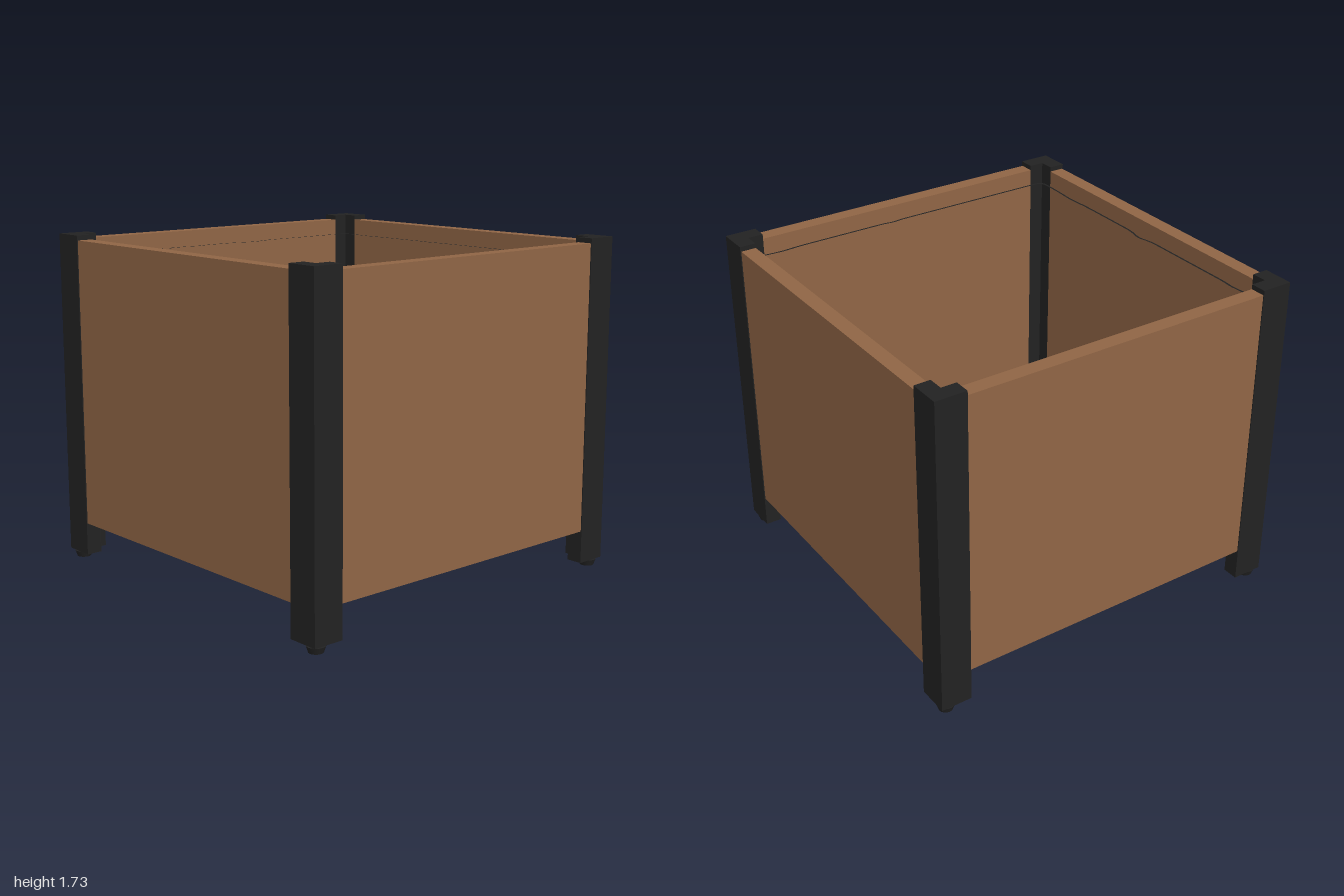
import * as THREE from 'three';

const wood = new THREE.MeshStandardMaterial({ name: 'brown wood', color: 0x906545 });
const black = new THREE.MeshStandardMaterial({ name: 'black metal', color: 0x222222 });

const ARM = 0.165, THICK = 0.085;           // corner post section
const POST_BOTTOM = 0.04, POST_TOP = 1.73;
const PANEL_BOTTOM = 0.21, PANEL_TOP = 1.705;

function add(parent, name, geometry, material, x = 0, y = 0, z = 0) {
  const mesh = new THREE.Mesh(geometry, material);
  mesh.name = name;
  mesh.position.set(x, y, z);
  parent.add(mesh);
  return mesh;
}

// L-shaped angle post with its outer corner at (1, 1)
function postGeometry() {
  const a = 1 - ARM, b = 1 - THICK;
  const shape = new THREE.Shape([[1, 1], [a, 1], [a, b], [b, b], [b, a], [1, a]]
    .map(([x, z]) => new THREE.Vector2(x, z)));
  const g = new THREE.ExtrudeGeometry(shape, { depth: POST_TOP - POST_BOTTOM, bevelEnabled: false });
  return g.rotateX(Math.PI / 2).translate(0, POST_TOP, 0);
}

// Inward ripples of the liner: [position along side, depth, width]
const ripples = {
  front: [[0, 0.018, 0.06], [0.62, 0.008, 0.1], [-0.72, 0.006, 0.05]],
  right: [[-0.08, 0.007, 0.04], [-0.75, 0.008, 0.08]],
  back: [[-0.7, 0.008, 0.1], [-0.2, 0.006, 0.06], [0.5, 0.008, 0.06], [0.82, 0.012, 0.02]],
  left: [[-0.18, 0.03, 0.09], [0.2, 0.014, 0.04], [0.4, 0.022, 0.025], [0.61, 0.036, 0.04]],
};

// Thin wavy strip running round the inside of the box
function linerGeometry() {
  const R = 0.908, corner = 0.04, points = [];
  const sides = [
    ['front', (t, d) => [t, d], 1], ['right', (t, d) => [d, t], -1],
    ['back', (t, d) => [t, -d], -1], ['left', (t, d) => [-d, t], 1],
  ];
  // Walk left to right along the front, then on round the box
  for (const [name, place, dir] of sides) {
    for (let i = 0; i <= 90; i++) {
      const t = dir * (i / 45 - 1) * (R - corner);
      let d = R;
      for (const [c, depth, w] of ripples[name]) d -= depth * Math.exp(-(((t - c) / w) ** 2));
      points.push(new THREE.Vector2(...place(t, d)));
    }
    // Rounded corner
    const end = dir * (R - corner);
    for (let k = 1; k < 5; k++) {
      const a = (k / 5) * Math.PI / 2;
      const t = end + dir * corner * Math.sin(a);
      points.push(new THREE.Vector2(...place(t, R - corner + corner * Math.cos(a))));
    }
  }
  const shape = new THREE.Shape(points);
  shape.holes.push(new THREE.Path(points.map((p) => p.clone().multiplyScalar(0.988))));
  const g = new THREE.ExtrudeGeometry(shape, { depth: 0.07, bevelEnabled: false });
  return g.rotateX(Math.PI / 2).translate(0, 1.62, 0);
}

export function createModel() {
  const planter = new THREE.Group();
  planter.name = 'planterBox';

  // Wall panels between the posts, with a floor inside them
  const panelGeo = new THREE.BoxGeometry(2 * (1 - ARM), PANEL_TOP - PANEL_BOTTOM, 0.08);
  ['front', 'left', 'back', 'right'].forEach((side, i) => {
    const a = (i * Math.PI) / 2;
    const panel = add(planter, side + 'Panel', panelGeo, wood,
      0.955 * Math.sin(a), (PANEL_TOP + PANEL_BOTTOM) / 2, 0.955 * Math.cos(a));
    panel.rotation.y = a;
  });
  add(planter, 'floor', new THREE.BoxGeometry(1.83, 0.08, 1.83), wood, 0, 0.26, 0);

  add(planter, 'liner', linerGeometry(), black);

  // Four corner posts, each on a small tapered foot
  const postGeo = postGeometry();
  const stemGeo = new THREE.CylinderGeometry(0.03, 0.03, 0.02, 16);
  const footGeo = new THREE.CylinderGeometry(0.047, 0.036, 0.032, 16);
  for (let i = 0; i < 4; i++) {
    const leg = new THREE.Group();
    leg.name = 'cornerLeg' + (i + 1);
    leg.rotation.y = (i * Math.PI) / 2;
    add(leg, 'post', postGeo, black);
    add(leg, 'footStem', stemGeo, black, 0.95, 0.035, 0.95);
    add(leg, 'foot', footGeo, black, 0.95, 0.016, 0.95);
    planter.add(leg);
  }
  return planter;
}
